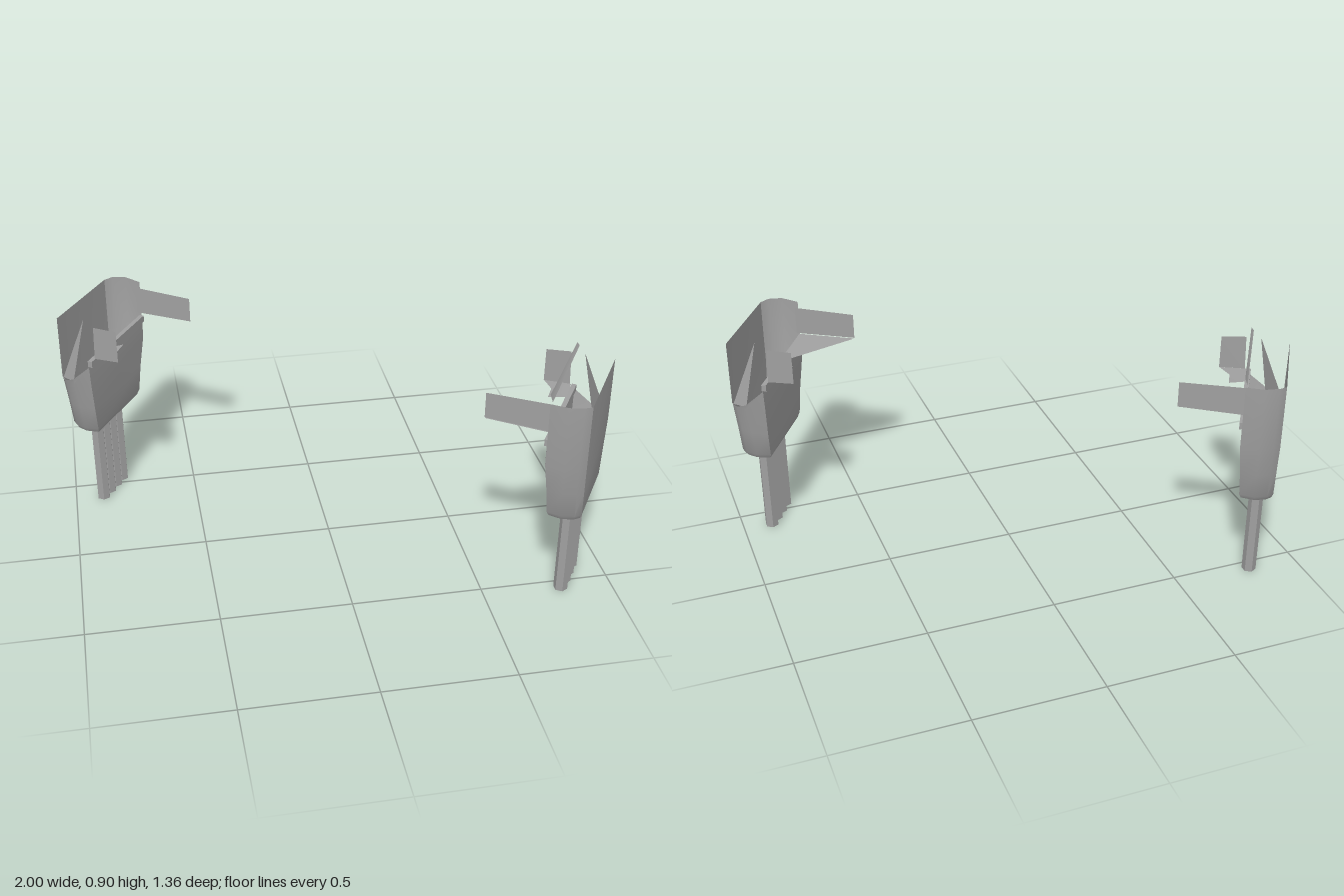
import * as THREE from 'three';
import { toCreasedNormals } from 'three/addons/utils/BufferGeometryUtils.js';

const sheetGrey = new THREE.MeshStandardMaterial({ color: 0xa0a0a0, side: THREE.DoubleSide });
sheetGrey.name = 'grey sheet';
const solidGrey = new THREE.MeshStandardMaterial({ color: 0xa0a0a0 });
solidGrey.name = 'grey solid';

// Turns a flat list of triangle corners into a creased geometry
function fromTriangles(corners) {
  const g = new THREE.BufferGeometry();
  g.setAttribute('position', new THREE.Float32BufferAttribute(corners.flat(), 3));
  g.computeVertexNormals();
  return toCreasedNormals(g, 0.6);
}

// Flat polygon given by its corners in order
function panel(name, pts, material = sheetGrey) {
  const tris = [];
  for (let i = 1; i < pts.length - 1; i++) tris.push(pts[0], pts[i], pts[i + 1]);
  const mesh = new THREE.Mesh(fromTriangles(tris), material);
  mesh.name = name;
  return mesh;
}

// Cuff outline: x, z, height of the rim at that point
const outline = [
  [0.222, 0.065, 0.87], [0.234, -0.005, 0.875], [0.216, -0.055, 0.875], [0.19, -0.078, 0.87],
  [-0.186, -0.078, 0.87], [-0.195, -0.075, 0.622], [-0.218, -0.05, 0.622],
  [-0.232, -0.005, 0.64], [-0.22, 0.065, 0.70], [0.222, 0.065, 0.70],
];
// Taper levels: y, length scale, outer depth scale, inner depth scale
const levels = [
  [0.375, 0.74, 0.85, 0.7], [0.395, 0.79, 0.93, 0.8], [0.5, 0.87, 0.96, 0.87], [0.62, 0.98, 1, 1],
];

function cuffShell() {
  const column = ([x, z, top]) => [
    ...levels.map(([y, s, outer, inner]) => [x * s, y, z * (z < 0 ? outer : inner)]),
    [x, top, z],
  ];
  const cols = outline.map(column);
  const tris = [];
  for (let i = 0; i < cols.length - 1; i++) {
    const a = cols[i], b = cols[i + 1];
    for (let j = 0; j < levels.length; j++) {
      tris.push(a[j], b[j], b[j + 1], a[j], b[j + 1], a[j + 1]);
    }
    // floor
    tris.push([0, 0.375, -0.008], b[0], a[0]);
  }
  const mesh = new THREE.Mesh(fromTriangles(tris), sheetGrey);
  mesh.name = 'cuffShell';
  return mesh;
}

function makeCuff(name) {
  const cuff = new THREE.Group();
  cuff.name = name;
  cuff.add(cuffShell());

  // Four six-sided rods below the floor
  for (let i = 0; i < 4; i++) {
    const geo = toCreasedNormals(new THREE.CylinderGeometry(0.027, 0.027, 0.382, 6), 0.6);
    const rod = new THREE.Mesh(geo, solidGrey);
    rod.name = 'rod';
    rod.position.set(-0.08 + i * 0.0533, 0.191, -0.011);
    cuff.add(rod);
  }

  // Ledge under the open window of the inner wall
  const ledge = new THREE.Mesh(new THREE.BoxGeometry(0.43, 0.026, 0.018), solidGrey);
  ledge.name = 'ledge';
  ledge.position.set(0.003, 0.71, 0.066);
  cuff.add(ledge);

  // Narrow rail above the window, facing the outer wall
  cuff.add(panel('rail', [
    [0.21, 0.872, 0.06], [-0.21, 0.888, 0.06], [-0.21, 0.9, 0.07], [0.21, 0.9, 0.07],
  ], solidGrey));

  // Spike standing in the torn end
  cuff.add(panel('spike', [[-0.195, 0.62, -0.07], [-0.228, 0.63, -0.005], [-0.17, 0.88, 0.03]]));

  // Long strap plate pointing inward
  cuff.add(panel('strapPlate', [
    [0.197, 0.745, 0.06], [0.19, 0.75, 0.302], [0.19, 0.85, 0.302], [0.197, 0.855, 0.06],
  ]));

  // Short tab with a sheet joining it to the ledge
  cuff.add(panel('tabPlate', [
    [-0.196, 0.73, 0.08], [-0.19, 0.73, 0.178], [-0.19, 0.86, 0.178], [-0.196, 0.865, 0.085],
  ]));
  cuff.add(panel('tabSheet', [
    [-0.131, 0.732, 0.135], [-0.19, 0.73, 0.177], [-0.196, 0.73, 0.075],
    [-0.1, 0.725, 0.07], [-0.058, 0.735, 0.131],
  ]));
  return cuff;
}

export function createModel() {
  const model = new THREE.Group();
  model.name = 'pairOfCuffs';
  const turn = 1.021;

  const right = makeCuff('rightCuff');
  right.position.set(-0.835, 0, -0.468);
  right.rotation.y = turn;

  const left = makeCuff('leftCuff');
  left.position.set(0.835, 0, 0.468);
  left.rotation.y = turn + Math.PI;
  // Flat web along the foot of the strap, on this cuff only
  left.add(panel('strapWeb', [
    [0.19, 0.747, 0.302], [0.197, 0.742, 0.07], [-0.02, 0.728, 0.07], [0.07, 0.735, 0.13],
  ]));

  model.add(right, left);
  return model;
}
